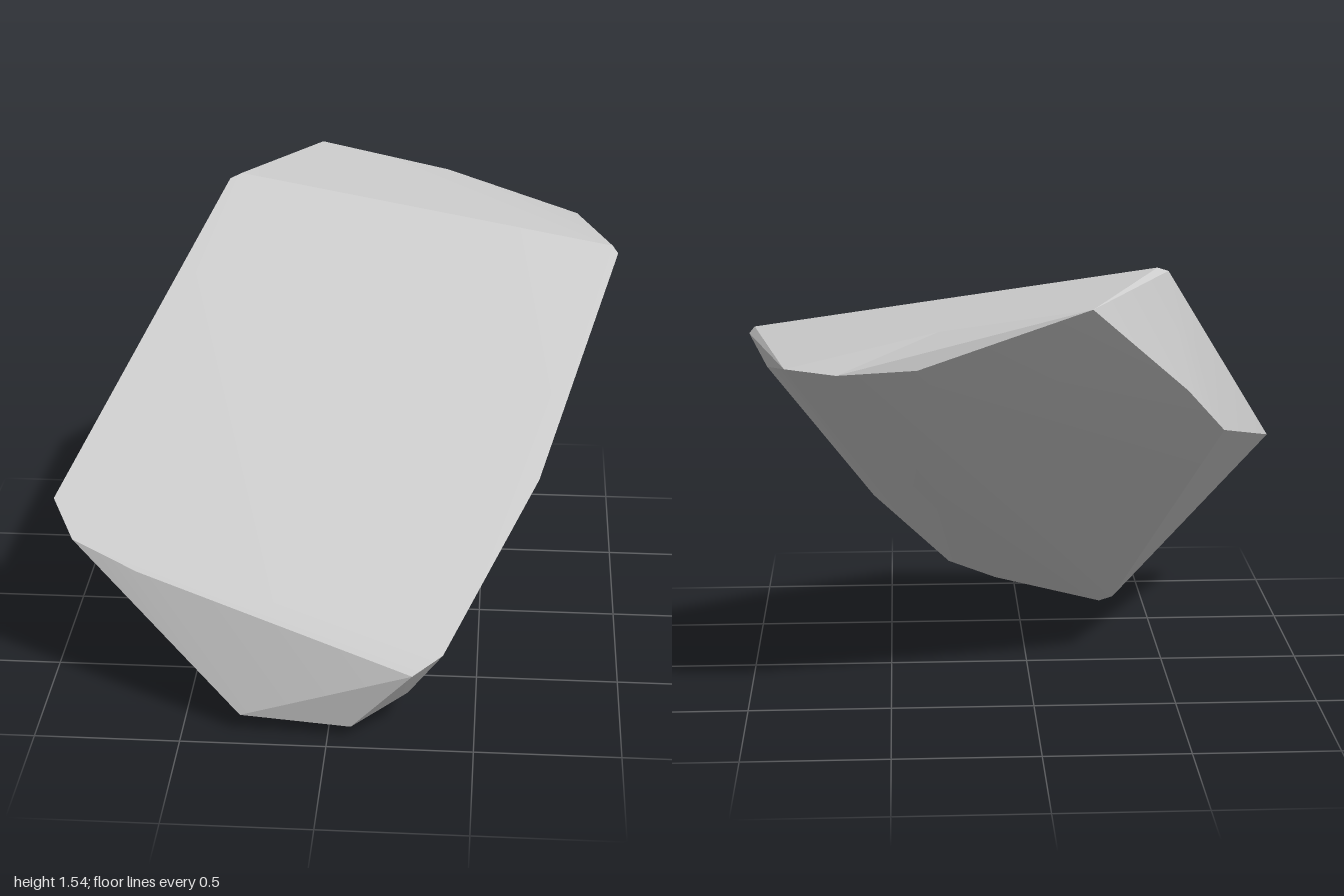
import * as THREE from 'three';
import { ConvexGeometry } from 'three/addons/geometries/ConvexGeometry.js';
import { toCreasedNormals } from 'three/addons/utils/BufferGeometryUtils.js';

// corners of the slanted slab of stone, grouped by region
const slopedFace = [
  [-0.42, 1.545, -0.46], [-0.46, 1.53, -0.44], [0.95, 1.335, -0.35], [0.97, 1.31, -0.34],
  [-0.97, 0.71, 0.60], [-0.89, 0.615, 0.72], [-0.66, 0.535, 0.79],
  [0.29, 0.285, 1.0], [0.39, 0.335, 0.94], [0.70, 0.74, 0.40],
];
const backEnd = [
  [-0.16, 1.50, -1.0], [0.33, 1.42, -0.93], [0.40, 1.30, -0.96], [0.66, 1.28, -0.93],
  [0.83, 1.285, -0.84], [0.90, 1.235, -0.55],
];
const leftAndRightFlanks = [
  [-0.66, 0.975, -0.45], [-0.51, 1.158, -0.65], [0.56, 0.55, 0.35],
];
const foot = [
  [-0.38, 0.03, 0.70], [-0.33, 0, 0.74], [-0.30, 0.07, 0.93],
  [0.08, 0.045, 0.94], [0.27, 0.14, 0.86], [0.06, 0.20, 0.52],
];

export function createModel() {
  const group = new THREE.Group();
  group.name = 'rock';

  // one faceted convex stone; only shallow edges are softened
  const corners = [...slopedFace, ...backEnd, ...leftAndRightFlanks, ...foot]
    .map((p) => new THREE.Vector3(...p));
  const geometry = toCreasedNormals(new ConvexGeometry(corners), 0.3);
  const stone = new THREE.Mesh(geometry, new THREE.MeshStandardMaterial({ color: 0xcccccc }));
  stone.name = 'stone';
  group.add(stone);
  return group;
}
